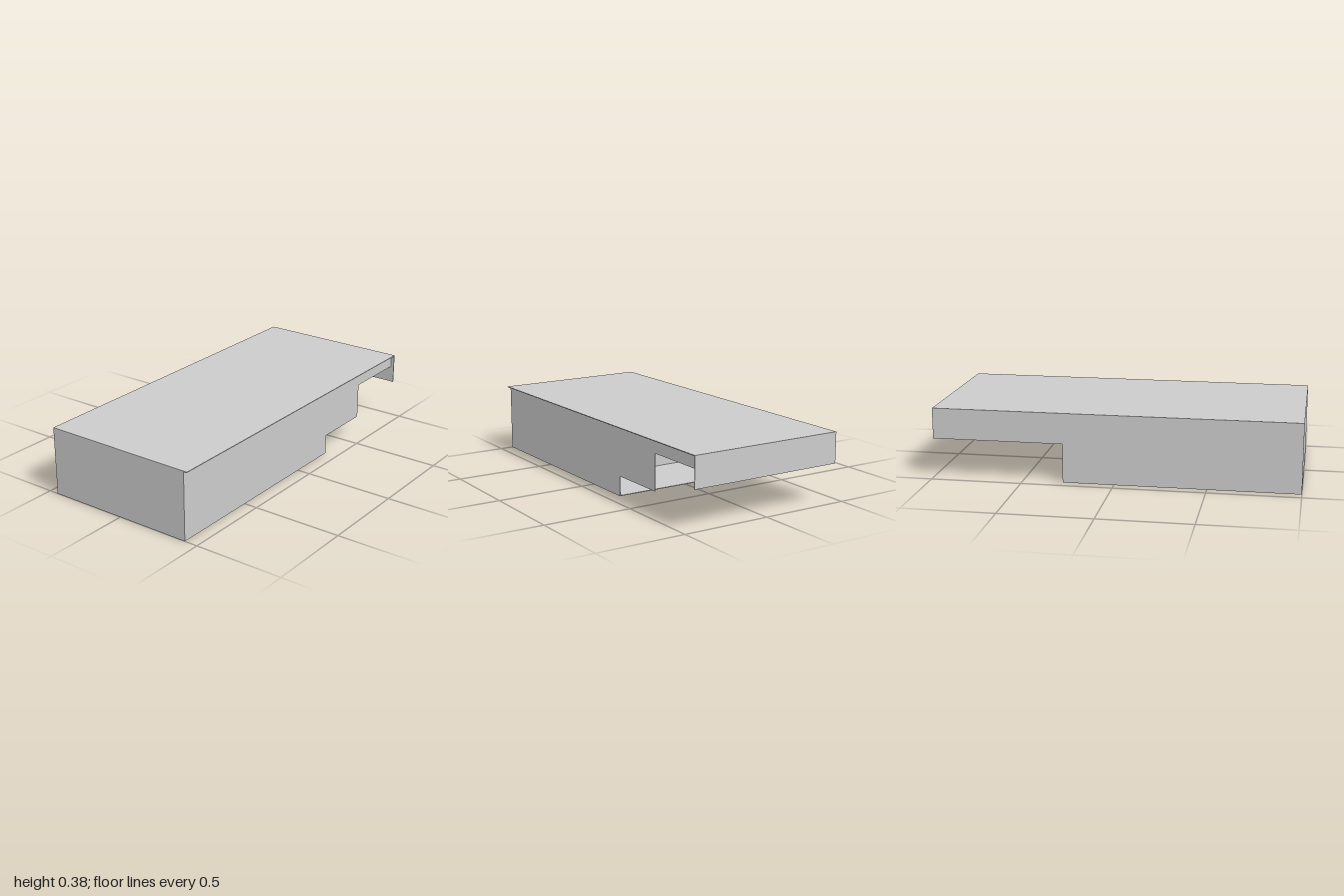
import * as THREE from 'three';

const T = 0.004; // sheet thickness
const H = 0.385; // overall height

export function createModel() {
  const model = new THREE.Group();
  const material = new THREE.MeshStandardMaterial({ color: 0xcccccc, flatShading: true });

  const add = (name, geometry) => {
    const mesh = new THREE.Mesh(geometry, material);
    mesh.name = name;
    model.add(mesh);
  };

  // box given by its limits on each axis
  const box = (name, x0, x1, y0, y1, z0, z1) => {
    const g = new THREE.BoxGeometry(x1 - x0, y1 - y0, z1 - z0);
    g.translate((x0 + x1) / 2, (y0 + y1) / 2, (z0 + z1) / 2);
    add(name, g);
  };

  // upright side wall from a (z, y) outline, reaching from xMax towards -x
  const sideWall = (name, xMax, outline) => {
    const shape = new THREE.Shape(outline.map(([z, y]) => new THREE.Vector2(z, y)));
    const g = new THREE.ExtrudeGeometry(shape, { depth: T, bevelEnabled: false });
    g.rotateY(-Math.PI / 2);
    g.translate(xMax, 0, 0);
    add(name, g);
  };

  // outer shell
  box('topPanel', -0.445, 0.445, H - T, H, -1, 1);
  box('floorPanel', -0.445, 0.425, 0, T, -0.28, 1);
  box('frontWall', -0.445, 0.425, T, H - T, 1 - T, 1);
  box('backApron', -0.445, 0.445, 0.215, H - T, -1, -1 + T);

  // stepped side walls
  sideWall('leftWall', 0.425, [
    [1 - T, T], [1 - T, H - T], [-1 + T, H - T], [-1 + T, 0.31],
    [-0.62, 0.31], [-0.62, 0.11], [-0.28, 0.11], [-0.28, T],
  ]);
  sideWall('rightWall', -0.445 + T, [
    [1 - T, T], [1 - T, H - T], [-1 + T, H - T], [-1 + T, 0.215], [-0.28, 0.215], [-0.28, T],
  ]);

  // inner partition with a short return towards the back
  box('partition', -0.24, 0.425 - T, T, H - T, 0.12, 0.12 + T);
  box('partitionReturn', -0.24 - T, -0.24, T, H - T, -0.08, 0.12 + T);

  return model;
}
